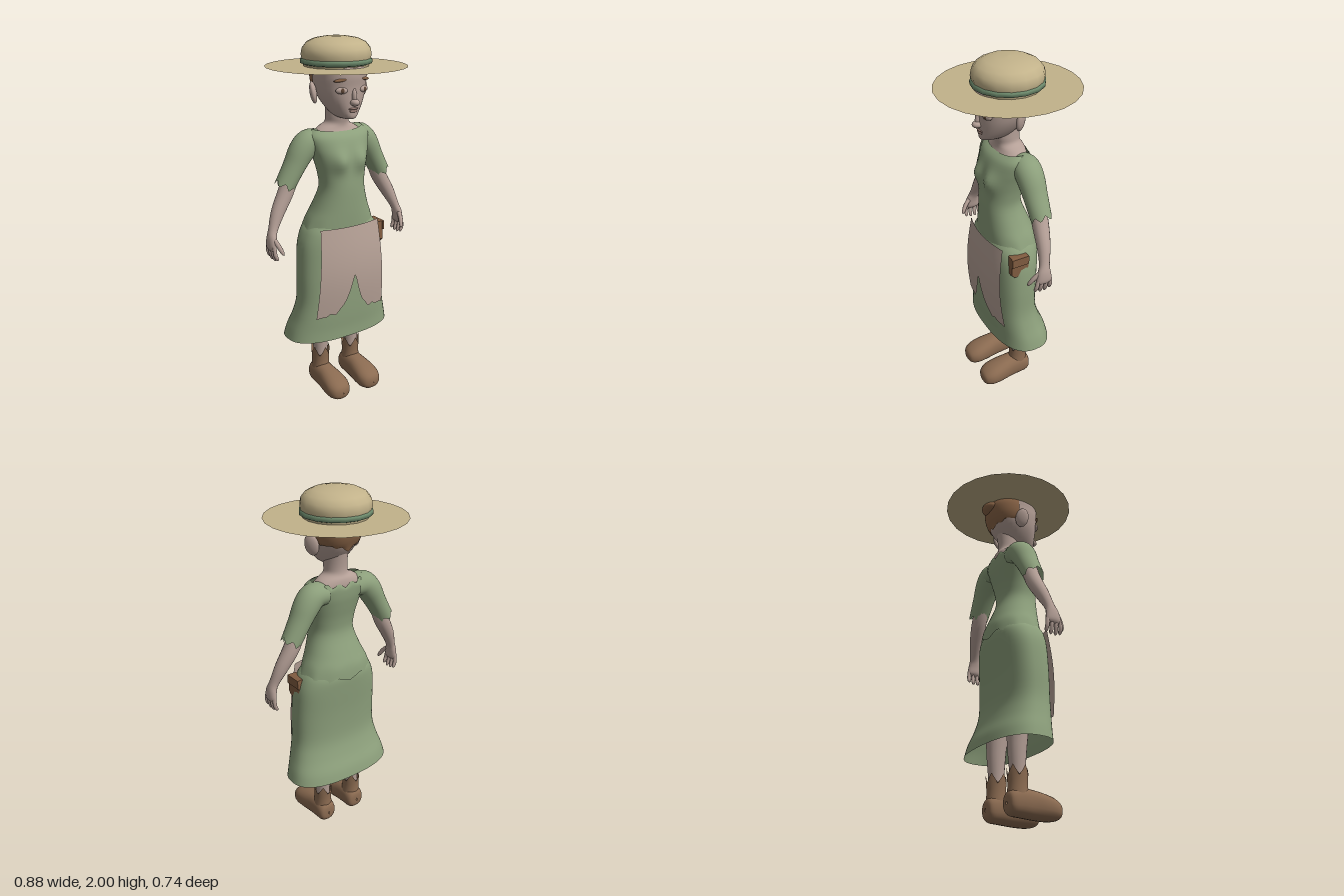
import * as THREE from 'three';
import { mergeVertices } from 'three/addons/utils/BufferGeometryUtils.js';

const mat = (name, color, double) => {
  const m = new THREE.MeshStandardMaterial({ color });
  m.name = name;
  if (double) m.side = THREE.DoubleSide;
  return m;
};

// Bends a grid so that each (u, v) in 0..1 lands on fn(u, v); smooth across the seam
function sheet(nu, nv, fn) {
  const g = new THREE.PlaneGeometry(1, 1, nu, nv);
  const p = g.attributes.position, uv = g.attributes.uv;
  for (let i = 0; i < p.count; i++) p.setXYZ(i, ...fn(uv.getX(i), uv.getY(i)));
  g.deleteAttribute('uv');
  g.deleteAttribute('normal');
  const m = mergeVertices(g, 1e-5);
  m.computeVertexNormals();
  return m;
}

// Catmull-Rom reading of a list of section rows at t in 0..1
function sample(rows, t) {
  const n = rows.length - 1, f = Math.min(t * n, n - 1e-9), i = Math.floor(f), k = f - i;
  const r = (j) => rows[Math.max(0, Math.min(n, j))];
  return rows[0].map((_, c) => {
    const a = r(i - 1)[c], b = r(i)[c], d = r(i + 1)[c], e = r(i + 2)[c];
    return b + 0.5 * k * (d - a + k * (2 * a - 5 * b + 4 * d - e + k * (3 * (b - d) + e - a)));
  });
}

const pow = (v, e) => Math.sign(v) * Math.abs(v) ** e;
const zig = (u, n) => Math.abs(((u * n) % 1) * 2 - 1) - 0.5;
const clamp = (v) => Math.max(0, Math.min(1, v));

// Upright body of rows [y, half width, front z, back z]
function upright(rows, { x = 0, n = 32, sq = 2, from = 0, to = 1, low, high, bend } = {}) {
  return sheet(n, (rows.length - 1) * 4, (u, v) => {
    const a = (from + (to - from) * u) * Math.PI * 2;
    const [y, rx, zf, zb] = sample(rows, v);
    const p = [
      x + rx * pow(Math.sin(a), 2 / sq),
      y + (low ? low(u) * clamp(1 - v / 0.15) : 0) + (high ? high(u) * clamp((v - 0.8) / 0.2) : 0),
      (zf + zb) / 2 + ((zf - zb) / 2) * pow(Math.cos(a), 2 / sq),
    ];
    if (bend) bend(p);
    return p;
  });
}

// Limb along rows [x, y, z, in-plane radius, depth radius]
function limb(rows, { n = 16, k = 4, end } = {}) {
  const at = (t) => new THREE.Vector3(...sample(rows, t));
  return sheet(n, (rows.length - 1) * k, (u, v) => {
    const a = u * Math.PI * 2, s = sample(rows, v), e = 0.01;
    const T = at(Math.min(1, v + e)).sub(at(Math.max(0, v - e))).normalize();
    const W = new THREE.Vector3(0, 0, 1).addScaledVector(T, -T.z).normalize();
    const U = T.clone().cross(W);
    return at(v).addScaledVector(U, s[3] * Math.sin(a)).addScaledVector(W, s[4] * Math.cos(a))
      .addScaledVector(T, end ? end(u) * clamp((v - 0.8) / 0.2) : 0).toArray();
  });
}

export function createModel() {
  const root = new THREE.Group();
  root.name = 'womanInStrawHat';
  const skin = mat('skin', 0xb5a097, true), cloth = mat('greenCloth', 0x8c9f7b, true);
  const apronMat = mat('apronLinen', 0xb7a297, true), straw = mat('straw', 0xc2b28a, true);
  const bandMat = mat('hatBand', 0x6d8a6c, true), leather = mat('leather', 0x8b6b51, true);
  const hairMat = mat('hair', 0x8c6648, true), pouchMat = mat('pouchLeather', 0x815c40);
  const iris = mat('iris', 0x5e4636), lip = mat('lip', 0x9d8076);

  const add = (name, geo, m) => {
    const mesh = new THREE.Mesh(geo, m);
    mesh.name = name;
    root.add(mesh);
    return mesh;
  };
  const ball = (name, m, pos, size, rot = [0, 0, 0]) => {
    const b = add(name, new THREE.SphereGeometry(1, 20, 14), m);
    b.position.set(...pos);
    b.scale.set(...size);
    b.rotation.set(...rot);
  };

  // Hat: flat brim, domed crown, ribbon
  add('hatBrim', new THREE.CircleGeometry(0.37, 24).rotateX(-Math.PI / 2).translate(0, 1.85, 0), straw);
  const lathe = (pts) => new THREE.LatheGeometry(pts.map((p) => new THREE.Vector2(...p)), 16);
  add('hatCrown', lathe([[0.17, 1.85], [0.178, 1.885], [0.184, 1.91], [0.178, 1.94], [0.155, 1.968],
    [0.115, 1.987], [0.06, 1.997], [0, 2]]), straw);
  add('hatBand', lathe([[0.172, 1.86], [0.187, 1.866], [0.187, 1.884], [0.176, 1.89]]), bandMat);

  // Head, neck and shoulders
  add('head', upright([[1.592, 0.005, 0.12, 0.08], [1.6, 0.04, 0.157, 0.0], [1.64, 0.078, 0.162, -0.045],
    [1.7, 0.113, 0.166, -0.09], [1.76, 0.13, 0.168, -0.115], [1.82, 0.135, 0.174, -0.128],
    [1.87, 0.125, 0.155, -0.12], [1.89, 0.005, 0.02, 0]], { sq: 2.2 }), skin);
  add('neckAndShoulders', upright([[1.45, 0.16, 0.1, -0.075], [1.5, 0.15, 0.085, -0.08], [1.535, 0.11, 0.07, -0.075],
    [1.56, 0.066, 0.068, -0.062], [1.6, 0.06, 0.075, -0.06], [1.68, 0.06, 0.075, -0.07]]), skin);
  ball('noseTip', skin, [0, 1.683, 0.17], [0.024, 0.019, 0.029]);
  ball('noseBridge', skin, [0, 1.715, 0.163], [0.014, 0.045, 0.019], [-0.15, 0, 0]);
  ball('upperLip', lip, [0, 1.65, 0.157], [0.03, 0.007, 0.012]);
  ball('lowerLip', lip, [0, 1.638, 0.156], [0.025, 0.008, 0.012]);

  // Hair cap over the back of the head, with a bun
  add('hair', upright([[1.7, 0.112, 0.15, -0.1], [1.76, 0.136, 0.168, -0.127], [1.82, 0.141, 0.17, -0.138],
    [1.86, 0.135, 0.16, -0.13]], { sq: 2.2, from: 0.27, to: 0.73, n: 36,
    low: (u) => 0.02 * zig(u, 5) + 0.08 * Math.abs(2 * u - 1) ** 1.5 }), hairMat);
  ball('hairBun', hairMat, [0, 1.825, -0.115], [0.062, 0.036, 0.056]);

  // Bodice with scooped, torn neckline and ragged hem
  add('bodice', upright([[0.985, 0.213, 0.15, -0.125], [1.05, 0.19, 0.153, -0.118], [1.12, 0.158, 0.155, -0.092],
    [1.22, 0.127, 0.155, -0.055], [1.3, 0.133, 0.15, -0.058], [1.38, 0.152, 0.145, -0.075],
    [1.44, 0.17, 0.133, -0.087], [1.5, 0.18, 0.11, -0.09], [1.535, 0.15, 0.078, -0.082]], {
    n: 64, sq: 2.2,
    low: (u) => 0.03 * zig(u, 9),
    high: (u) => 0.012 * Math.abs(Math.sin(u * Math.PI * 2)) ** 2 - 0.012
      + clamp(-Math.cos(u * Math.PI * 2)) * (0.03 * zig(u, 13) - 0.015),
    bend: (p) => { // bust
      if (p[2] > 0.03) p[2] += 0.028 * Math.exp(-((Math.abs(p[0]) - 0.065) ** 2) / 0.002 - (p[1] - 1.375) ** 2 / 0.003);
    },
  }), cloth);

  // Long skirt flaring at the hem
  add('skirt', upright([[0.36, 0.322, 0.155, -0.17], [0.42, 0.308, 0.155, -0.155], [0.5, 0.284, 0.16, -0.122],
    [0.6, 0.264, 0.163, -0.098], [0.75, 0.26, 0.163, -0.1], [0.9, 0.248, 0.162, -0.113],
    [0.98, 0.222, 0.158, -0.118], [1.02, 0.195, 0.145, -0.108]], { n: 48, sq: 2.5 }), cloth);

  // Apron, split at the centre and ragged below
  const hem = [[0.745], [0.66], [0.59], [0.555], [0.52], [0.53], [0.515], [0.515], [0.51]];
  add('apron', sheet(48, 14, (u, v) => {
    const s = u * 2 - 1, y = THREE.MathUtils.lerp(sample(hem, Math.abs(s))[0], 1.02, v), d = (1.02 - y) / 0.51;
    return [s * (0.185 + 0.035 * d), y, 0.163 + 0.024 * Math.sin(Math.PI * clamp(d)) + 0.006 * d - 0.03 * s * s];
  }), apronMat);

  // Hip pouch with flap
  const pouch = new THREE.Shape();
  pouch.moveTo(0.01, 0.885).lineTo(0.025, 0.868).lineTo(0.09, 0.868).lineTo(0.105, 0.885)
    .lineTo(0.1, 0.98).lineTo(0.015, 0.98).closePath();
  const bevel = { depth: 0.035, bevelSize: 0.006, bevelThickness: 0.008, bevelSegments: 2 };
  add('pouch', new THREE.ExtrudeGeometry(pouch, bevel).rotateY(-Math.PI / 2).translate(0.238, 0, 0), pouchMat);
  const flap = add('pouchFlap', new THREE.BoxGeometry(0.012, 0.05, 0.1), pouchMat);
  flap.position.set(0.246, 0.96, 0.058);

  for (const s of [1, -1]) {
    const side = s > 0 ? 'left' : 'right';
    const m = (rows) => rows.map(([x, ...r]) => [x * s, ...r]);

    // Face
    ball(side + 'Eye', skin, [0.067 * s, 1.745, 0.151], [0.031, 0.017, 0.013], [0, 0.35 * s, 0]);
    ball(side + 'Iris', iris, [0.067 * s, 1.745, 0.16], [0.012, 0.012, 0.006], [0, 0.3 * s, 0]);
    ball(side + 'Brow', hairMat, [0.075 * s, 1.796, 0.151], [0.034, 0.008, 0.009], [0, 0.4 * s, -0.12 * s]);
    ball(side + 'Ear', skin, [0.145 * s, 1.725, 0.008], [0.018, 0.058, 0.038], [0.15, 0.6 * s, -0.25 * s]);
    ball(side + 'EarHollow', lip, [0.156 * s, 1.73, 0.017], [0.009, 0.032, 0.019], [0.15, 0.6 * s, -0.25 * s]);

    // Arm with torn sleeve
    add(side + 'Sleeve', limb(m([[0.1, 1.465, -0.015, 0.06, 0.07], [0.16, 1.465, -0.018, 0.068, 0.073],
      [0.205, 1.42, -0.02, 0.068, 0.072], [0.25, 1.345, -0.022, 0.058, 0.064], [0.308, 1.245, -0.024, 0.053, 0.056]]),
    { n: 32, end: (u) => 0.03 * zig(u, 6) }), cloth);
    add(side + 'Arm', limb(m([[0.25, 1.34, -0.022, 0.04, 0.042], [0.3, 1.22, -0.022, 0.043, 0.044],
      [0.36, 1.115, -0.01, 0.037, 0.036], [0.4, 1.03, 0.006, 0.025, 0.028], [0.414, 0.985, 0.014, 0.023, 0.038],
      [0.418, 0.94, 0.016, 0.019, 0.044], [0.417, 0.92, 0.016, 0.004, 0.03]])), skin);
    for (let i = 0; i < 4; i++) {
      const z = -0.018 + i * 0.023, tip = 0.862 + 0.008 * Math.abs(i - 1.5);
      add(side + 'Finger', limb(m([[0.418, 0.95, z, 0.011, 0.011], [0.418, 0.91, z * 1.15, 0.011, 0.011],
        [0.408, tip + 0.01, z * 1.2, 0.009, 0.009], [0.405, tip, z * 1.2, 0.001, 0.001]]), { n: 8, k: 3 }), skin);
    }
    add(side + 'Thumb', limb(m([[0.412, 0.995, 0.03, 0.012, 0.012], [0.402, 0.96, 0.066, 0.013, 0.013],
      [0.39, 0.925, 0.088, 0.01, 0.01], [0.386, 0.912, 0.095, 0.001, 0.001]]), { n: 8, k: 3 }), skin);

    // Leg, torn boot cuff and rounded shoe
    const x = 0.105 * s;
    add(side + 'Leg', upright([[0.1, 0.04, 0.032, -0.048], [0.22, 0.04, 0.033, -0.05],
      [0.36, 0.05, 0.042, -0.062], [0.6, 0.07, 0.07, -0.07]], { x, n: 16 }), skin);
    add(side + 'BootCuff', upright([[0.08, 0.055, 0.055, -0.065], [0.16, 0.048, 0.044, -0.06],
      [0.232, 0.051, 0.047, -0.065]], { x, n: 30, high: (u) => 0.055 * zig(u, 5) }), leather);
    const shoe = [[-0.072, 0.003, 0.08, 0.06], [-0.068, 0.04, 0.118, 0.03], [-0.045, 0.055, 0.138, 0.01],
      [0, 0.058, 0.15, 0.006], [0.06, 0.06, 0.147, 0.002], [0.12, 0.068, 0.137, 0.0], [0.18, 0.07, 0.12, 0.002],
      [0.22, 0.052, 0.098, 0.012], [0.234, 0.025, 0.076, 0.032], [0.237, 0.002, 0.056, 0.052]];
    add(side + 'Shoe', sheet(24, 27, (u, v) => {
      const a = u * Math.PI * 2, [z, rx, top, bot] = sample(shoe, v);
      return [x - rx * pow(Math.sin(a), 0.85), (top + bot) / 2 + ((top - bot) / 2) * pow(Math.cos(a), 0.85), z];
    }), leather);
  }
  return root;
}
